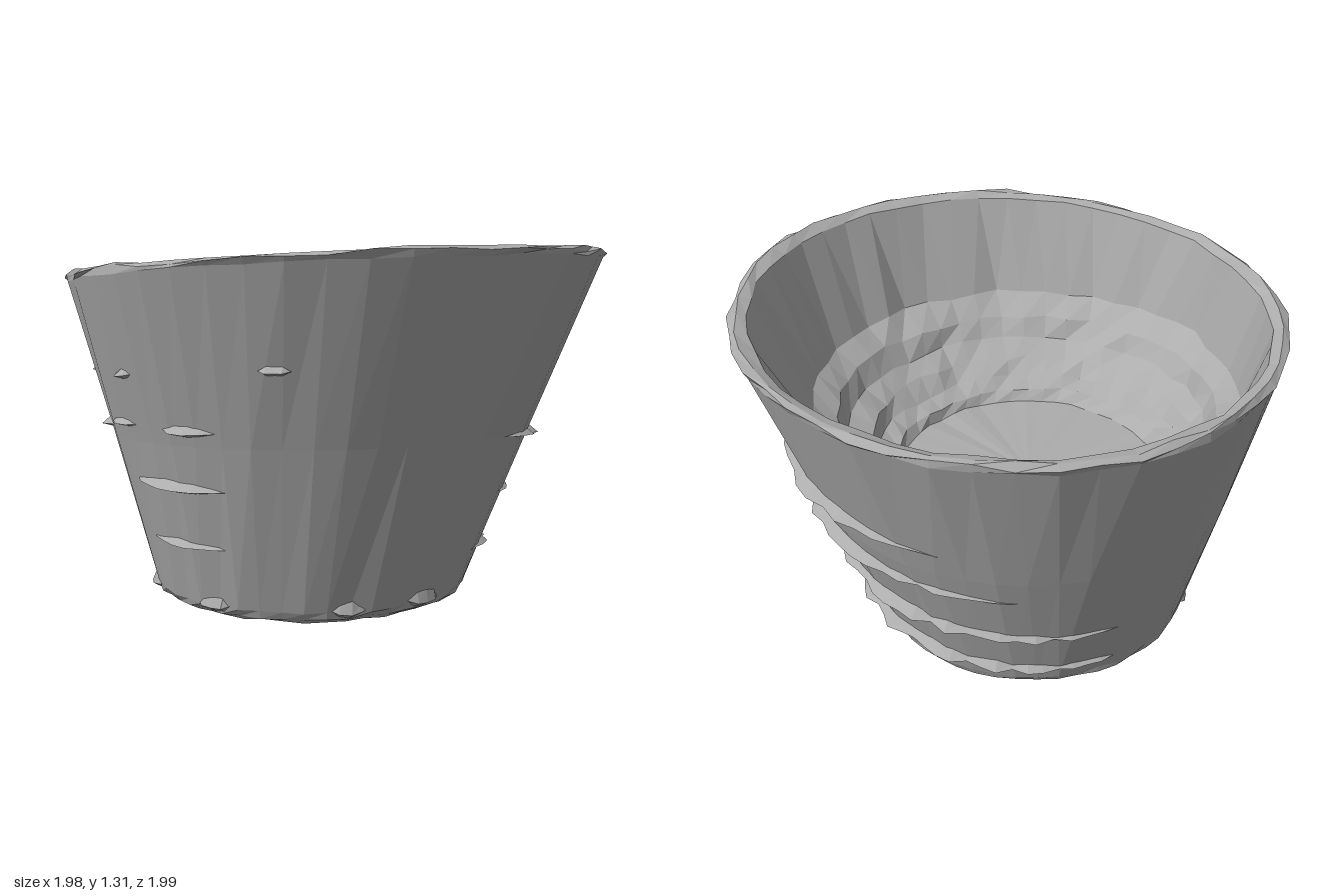
import * as THREE from 'three';

const SEG = 48;
const lerp = THREE.MathUtils.lerp;

// small seeded random numbers, centred on zero
function makeNoise(seed) {
  let s = seed;
  return () => {
    s = (s * 16807) % 2147483647;
    return (s / 2147483647) * 2 - 1;
  };
}

// one uneven ring: centre, radius, height, tilt along x and z, jitter
function ring(noise, cx, cz, r, y, tiltX, tiltZ, jitter) {
  return Array.from({ length: SEG }, (_, i) => {
    const a = (i / SEG) * Math.PI * 2;
    const rr = r + jitter * noise();
    const x = cx + rr * Math.cos(a);
    const z = cz + rr * Math.sin(a);
    return new THREE.Vector3(x, Math.max(0, y + tiltX * x + tiltZ * z + jitter * 0.6 * noise()), z);
  });
}

// joins successive closed or open loops of points into a flat-shaded skin
function skin(loops, closed = true) {
  const out = [];
  const n = loops[0].length;
  for (let k = 0; k < loops.length - 1; k++) {
    for (let i = 0; i < (closed ? n : n - 1); i++) {
      const j = (i + 1) % n;
      const a = loops[k][i], b = loops[k][j], c = loops[k + 1][i], d = loops[k + 1][j];
      for (const p of [a, c, b, b, c, d]) out.push(p.x, p.y, p.z);
    }
  }
  const g = new THREE.BufferGeometry();
  g.setAttribute('position', new THREE.Float32BufferAttribute(out, 3));
  g.computeVertexNormals();
  return g;
}

// point on the outer wall, whose centre and radius shift with height
function wallPoint(a, y, out) {
  const t = (y - 0.06) / 1.18;
  const r = lerp(0.595, 0.985, t) + out;
  return new THREE.Vector3(lerp(-0.09, 0, t) + r * Math.cos(a), y, lerp(0.05, 0, t) + r * Math.sin(a));
}

// ragged ridge breaking through the wall between two angles in degrees
function ridge(noise, from, to, y0, y1, depth, height) {
  const steps = Math.max(4, Math.round((to - from) / 5));
  const top = [], tip = [], low = [];
  for (let i = 0; i <= steps; i++) {
    const t = i / steps;
    const a = THREE.MathUtils.degToRad(lerp(from, to, t));
    const swell = Math.pow(Math.max(0, Math.sin(Math.PI * t)), 0.7) * (1 + 0.3 * noise());
    const y = lerp(y0, y1, t);
    top.push(wallPoint(a, y + height * 0.5 * swell, -0.012));
    tip.push(wallPoint(a, y - height * 0.2 * swell, depth * swell - 0.006));
    low.push(wallPoint(a, y - height * 0.5 * swell, -0.012));
  }
  return skin([low, tip, top], false);
}

export function createModel() {
  const group = new THREE.Group();
  const noise = makeNoise(417);
  const grey = new THREE.MeshStandardMaterial({ color: 0xacacac, flatShading: true, side: THREE.DoubleSide });
  const add = (name, geometry, parent = group) => {
    const mesh = new THREE.Mesh(geometry, grey);
    mesh.name = name;
    parent.add(mesh);
  };
  const subgroup = (name) => {
    const g = new THREE.Group();
    g.name = name;
    group.add(g);
    return g;
  };

  // rounded foot around a recessed underside
  const foot = [];
  for (let i = 0; i <= 6; i++) {
    const a = (i / 6) * Math.PI;
    foot.push(ring(noise, -0.09, 0.05, 0.505 - 0.095 * Math.cos(a), 0.063 - 0.052 * Math.sin(a), 0, 0, 0.008));
  }
  add('foot', skin(foot));
  add('underside', skin([ring(noise, -0.09, 0.05, 0, 0.07, 0, 0, 0), foot[0]]));

  // ragged rim, sloping up towards one side
  const rim = [
    ring(noise, 0, 0, 0.98, 1.22, 0.07, 0, 0.007),
    ring(noise, 0, 0, 0.988, 1.24, 0.07, 0, 0.014),
    ring(noise, 0, 0, 0.965, 1.25, 0.07, 0, 0.01),
    ring(noise, 0, 0, 0.925, 1.235, 0.07, 0, 0.008),
  ];
  add('rim', skin(rim));

  // leaning wall
  add('outerWall', skin([foot[6], ring(noise, -0.055, 0.02, 0.793, 0.65, 0.03, 0, 0.004), rim[0]]));

  // inside steps: each is a sloping ledge ending in a sharp lip and a steep drop
  const steps = [];
  [[0.79, 0.89], [0.675, 0.75], [0.57, 0.655]].forEach(([r, y], i) => {
    const cx = -0.01 - 0.035 * i;
    const cz = 0.06 - 0.01 * i;
    steps.push(ring(noise, cx, cz, r, y, 0.03, 0.02, 0.014));
    steps.push(ring(noise, cx - 0.02, cz, r - 0.08 + 0.014 * i, y - 0.06 + 0.02 * i, 0.02, 0.01, 0.014));
  });
  steps.push(ring(noise, -0.1, 0.02, 0.49, 0.595, 0.02, 0.01, 0.008));
  add('innerWall', skin([rim[3], steps[0]]));
  add('innerSteps', skin(steps));
  add('innerFloor', skin([steps[6], ring(noise, -0.1, 0.02, 0, 0.585, 0, 0, 0)]));

  // long ridges around the back: start angle, end angle, start height, end height
  const backRidges = subgroup('backRidges');
  for (const [from, to, y0, y1] of [
    [178, 336, 0.12, 0.215],
    [179, 330, 0.3, 0.43],
    [204, 342, 0.52, 0.66],
    [225, 296, 0.73, 0.83],
  ]) {
    add('backRidge', ridge(noise, from, to, y0, y1, 0.055, 0.055), backRidges);
  }

  // shorter ridges at the front
  const frontRidges = subgroup('frontRidges');
  for (const y of [0.29, 0.505]) add('frontRidge', ridge(noise, 60, 97, y, y, 0.04, 0.045), frontRidges);
  for (const a of [70, 96, 113]) {
    const y = a > 100 ? 0.68 : 0.71;
    add('frontRidge', ridge(noise, a - 8, a + 8, y, y, 0.035, 0.04), frontRidges);
  }

  // small chips high on the wall
  const chips = subgroup('wallChips');
  for (const [a, y] of [[47, 0.93], [89, 0.89], [118, 0.87]]) {
    add('chip', ridge(noise, a - 3.5, a + 3.5, y, y, 0.03, 0.035), chips);
  }

  // pointed lumps above the foot
  const lumps = subgroup('footLumps');
  for (const a of [22, 70, 108, 132, 353]) {
    add('lump', ridge(noise, a - 8, a + 8, 0.075, 0.075, 0.035, 0.09), lumps);
  }
  return group;
}
